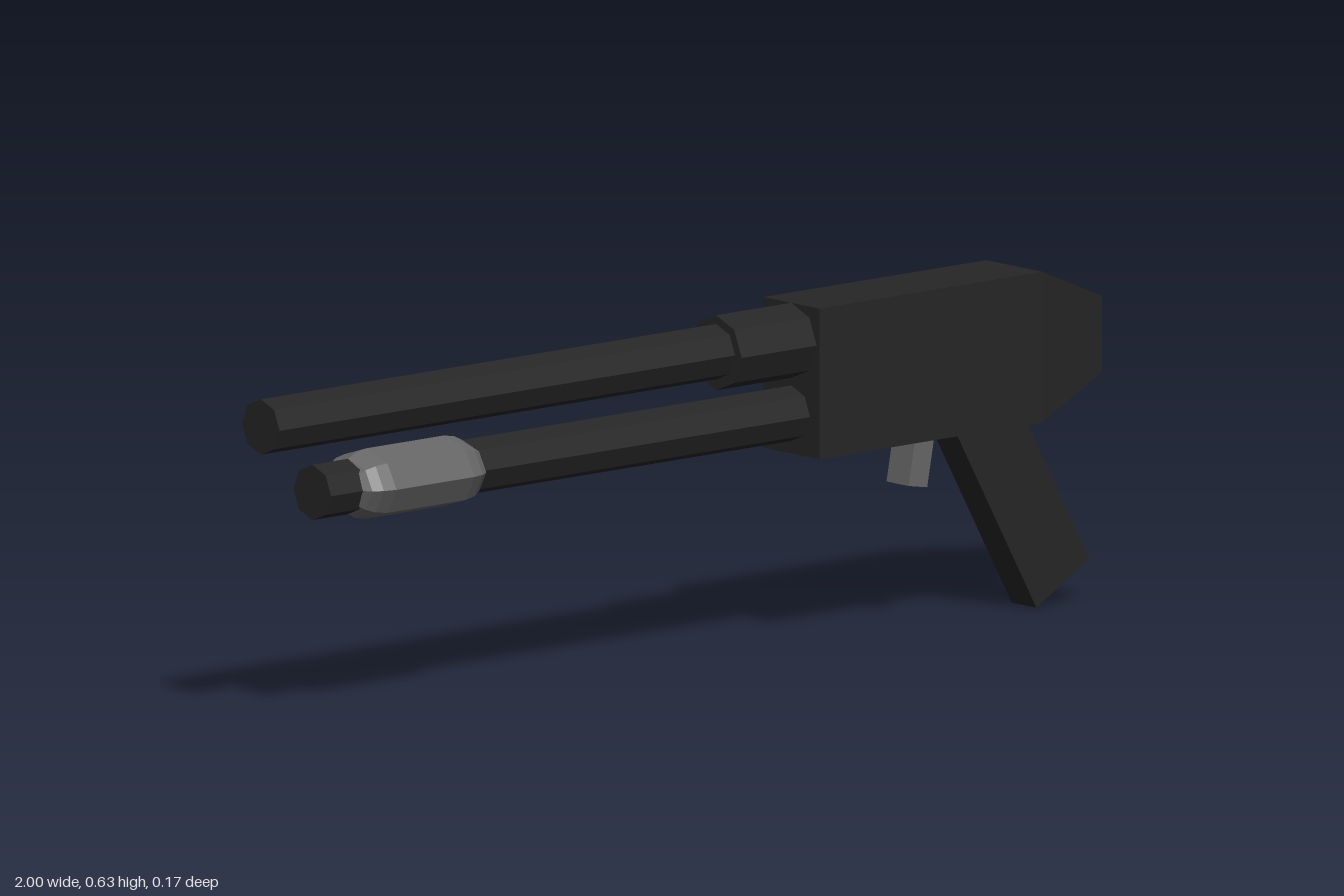
import * as THREE from 'three';

const material = (color) => new THREE.MeshStandardMaterial({ color, flatShading: true, side: THREE.FrontSide });

export function createModel() {
  const model = new THREE.Group();
  const dark = material(0x262626);
  const grey = material(0x666666);

  const add = (name, geometry, mat) => {
    const mesh = new THREE.Mesh(geometry, mat);
    mesh.name = name;
    model.add(mesh);
    return mesh;
  };

  // Eight-sided rod along x, with corners on the y and z axes
  const rod = (name, x0, x1, y, radius) => {
    const geometry = new THREE.CylinderGeometry(radius, radius, x1 - x0, 8);
    geometry.rotateZ(Math.PI / 2);
    add(name, geometry, dark).position.set((x0 + x1) / 2, y, 0);
  };

  // Outline in the xy plane, extruded evenly to both sides of z = 0
  const slab = (name, points, depth, mat) => {
    const shape = new THREE.Shape(points.map(([x, y]) => new THREE.Vector2(x, y)));
    const geometry = new THREE.ExtrudeGeometry(shape, { depth, bevelEnabled: false });
    geometry.translate(0, 0, -depth / 2);
    add(name, geometry, mat);
  };

  // Tubes
  rod('upperTube', -1, 0.3, 0.56, 0.051);
  rod('lowerTube', -0.875, 0.3, 0.424, 0.051);
  rod('tubeCollar', 0.105, 0.3, 0.558, 0.069);

  // Sliding handle: rounded ends, flattened vertically
  const half = [[0, 0.148], [0.052, 0.148], [0.066, 0.138], [0.077, 0.12], [0.083, 0.095]];
  const profile = [
    ...half.map(([r, t]) => new THREE.Vector2(r, -t)),
    ...[...half].reverse().map(([r, t]) => new THREE.Vector2(r, t)),
  ];
  const handle = new THREE.LatheGeometry(profile, 8);
  handle.rotateZ(Math.PI / 2);
  handle.scale(1, 0.78, 1);
  add('slidingHandle', handle, grey).position.set(-0.65, 0.424, 0);

  // Body: a box whose rear end tapers on all four sides
  const body = new THREE.BoxGeometry(2, 1, 1, 2, 1, 1);
  const p = body.attributes.position;
  for (let i = 0; i < p.count; i++) {
    const rear = p.getX(i) > 0.5;
    const top = p.getY(i) > 0;
    const x = rear ? 1 : p.getX(i) < -0.5 ? 0.287 : 0.828;
    const y = rear ? (top ? 0.557 : 0.417) : (top ? 0.627 : 0.35);
    p.setXYZ(i, x, y, Math.sign(p.getZ(i)) * (rear ? 0.046 : 0.076));
  }
  body.computeVertexNormals();
  add('body', body, dark);

  // Slanted grip and trigger, both running up into the body
  slab('grip', [[0.852, 0], [0.98, 0.075], [0.759, 0.467], [0.631, 0.392]], 0.067, dark);
  slab('trigger', [[0.545, 0.262], [0.59, 0.254], [0.614, 0.38], [0.569, 0.388]], 0.06, grey);

  return model;
}
